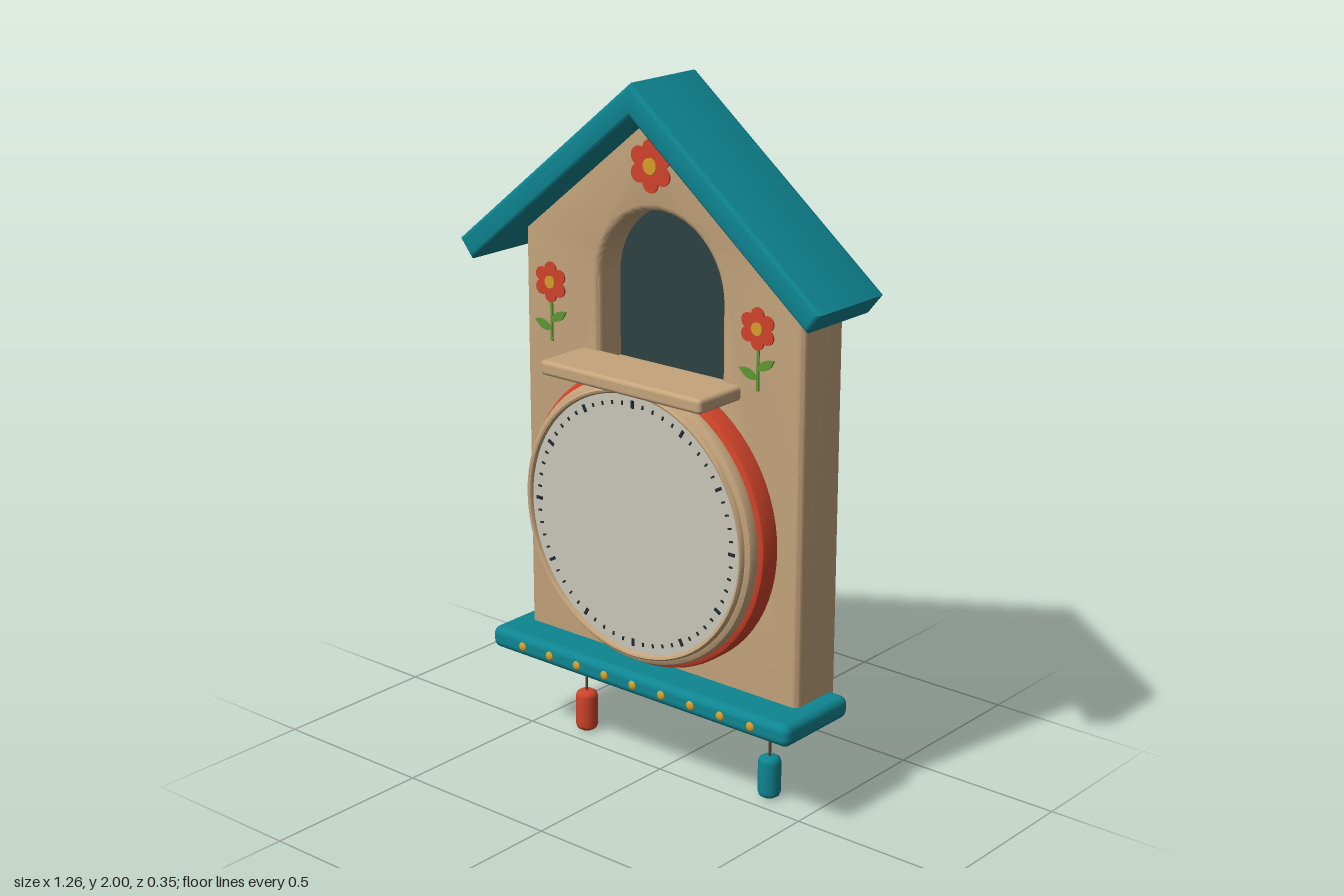
import * as THREE from 'three';
import { toCreasedNormals } from 'three/addons/utils/BufferGeometryUtils.js';
import { RoundedBoxGeometry } from 'three/addons/geometries/RoundedBoxGeometry.js';

const mat = (name, color) => {
  const m = new THREE.MeshStandardMaterial({ color });
  m.name = name;
  return m;
};

export function createModel() {
  const wood = mat('light wood', 0xc4a47c);
  const teal = mat('teal paint', 0x0e8591);
  const red = mat('red paint', 0xcf432a);
  const ivory = mat('ivory dial', 0xc9c5b9);
  const dark = mat('dark opening', 0x2d4242);
  const yellow = mat('yellow paint', 0xd69c28);
  const green = mat('leaf green', 0x5f9632);
  const brown = mat('cord brown', 0x5a4533);
  const ink = mat('dial ink', 0x222a30);

  const model = new THREE.Group();
  model.name = 'wallClock';

  const add = (name, geo, material, x = 0, y = 0, z = 0, parent = model) => {
    const m = new THREE.Mesh(geo, material);
    m.name = name;
    m.position.set(x, y, z);
    parent.add(m);
    return m;
  };
  const poly = (pts) => new THREE.Shape(pts.map(([x, y]) => new THREE.Vector2(x, y)));
  // Extrusion between two z values, keeping its outline while rounding the edges
  const slab = (shape, z0, z1, bevel = 0) => {
    const geo = new THREE.ExtrudeGeometry(shape, {
      depth: z1 - z0 - 2 * bevel, bevelEnabled: bevel > 0, bevelThickness: bevel,
      bevelSize: bevel, bevelOffset: -bevel, bevelSegments: 3, curveSegments: 24,
    });
    geo.translate(0, 0, z0 + bevel);
    return toCreasedNormals(geo, 0.6);
  };
  // Turned part with its axis along z, from [radius, z] pairs
  const turned = (pts) => toCreasedNormals(
    new THREE.LatheGeometry(pts.map(([r, z]) => new THREE.Vector2(r, z)), 72).rotateX(Math.PI / 2), 0.6);

  // House body with an arched opening
  const house = (inset) => poly([
    [-0.49 + inset, 0.31 + inset], [0.49 - inset, 0.31 + inset],
    [0.49 - inset, 1.535 - inset * 0.5], [0, 1.93 - inset * 1.27], [-0.49 + inset, 1.535 - inset * 0.5],
  ]);
  const arch = (Type, r) => {
    const p = new Type();
    p.moveTo(-r, 1.18);
    p.lineTo(r, 1.18);
    p.lineTo(r, 1.42);
    p.absarc(0, 1.42, r, 0, Math.PI, false);
    p.closePath();
    return p;
  };
  const bodyShape = house(0);
  bodyShape.holes.push(arch(THREE.Path, 0.218));
  add('body', slab(bodyShape, -0.172, 0.006, 0.018), wood);
  add('backPanel', slab(house(0.02), -0.175, -0.168), wood);
  add('openingBack', slab(arch(THREE.Shape, 0.222), -0.095, -0.088), dark);

  // Gabled roof
  add('roof', slab(poly([
    [0, 2], [-0.63, 1.49], [-0.586, 1.436], [0, 1.91], [0.586, 1.436], [0.63, 1.49],
  ]), -0.152, 0.127, 0.013), teal);

  // Shelf under the opening and the base with its row of studs
  add('shelf', new RoundedBoxGeometry(0.57, 0.042, 0.185, 3, 0.012), wood, 0, 1.19, 0.0825);
  add('base', new RoundedBoxGeometry(1.09, 0.066, 0.282, 4, 0.024), teal, 0, 0.303, -0.021);
  for (let i = -4; i <= 4; i++) {
    add('baseStud', new THREE.SphereGeometry(0.014, 14, 10).scale(1, 1, 0.5), yellow, i * 0.105, 0.303, 0.119);
  }

  // Clock dial: red ring, wooden bezel, face and ticks
  const dial = new THREE.Group();
  dial.name = 'dial';
  dial.position.y = 0.78;
  model.add(dial);
  add('dialRing', turned([
    [0, 0.002], [0.415, 0.008], [0.425, 0.018], [0.425, 0.064], [0.421, 0.074], [0.411, 0.08], [0, 0.08],
  ]), red, 0, 0, 0, dial);
  add('bezel', turned([
    [0.3, 0.078], [0.408, 0.078], [0.408, 0.096], [0.403, 0.106], [0.393, 0.111],
    [0.389, 0.112], [0.388, 0.119], [0.383, 0.125], [0.377, 0.123], [0.373, 0.117], [0.373, 0.105],
  ]), wood, 0, 0, 0, dial);
  add('dialFace', new THREE.CircleGeometry(0.377, 72), ivory, 0, 0, 0.114, dial);
  for (let i = 0; i < 60; i++) {
    const hour = i % 5 === 0;
    const a = (i / 60) * Math.PI * 2;
    const geo = hour ? new THREE.BoxGeometry(0.022, 0.009, 0.004) : new THREE.BoxGeometry(0.011, 0.005, 0.004);
    add(hour ? 'hourTick' : 'minuteTick', geo, ink,
      Math.cos(a) * 0.347, Math.sin(a) * 0.347, 0.115, dial).rotation.z = a;
  }

  // Flowers: six petals around a yellow centre, some with stem and leaves
  const disc = (r, depth) => new THREE.CylinderGeometry(r, r, depth, 20).rotateX(Math.PI / 2);
  const leaf = new THREE.Shape();
  leaf.moveTo(0, 0);
  leaf.quadraticCurveTo(0.022, 0.026, 0.064, 0.004);
  leaf.quadraticCurveTo(0.036, -0.024, 0, 0);
  const flower = (x, y, r, stem) => {
    const g = new THREE.Group();
    g.name = 'flower';
    g.position.set(x, y, 0.038);
    model.add(g);
    add('petalCore', disc(r * 0.6, 0.005), red, 0, 0, 0, g);
    for (let i = 0; i < 6; i++) {
      const a = (i / 6) * Math.PI * 2 + Math.PI / 6;
      add('petal', disc(r * 0.36, 0.005), red, Math.cos(a) * r * 0.64, Math.sin(a) * r * 0.64, 0, g);
    }
    add('flowerCentre', disc(r * 0.31, 0.006), yellow, 0, 0, 0.003, g);
    if (!stem) return;
    add('stem', new THREE.BoxGeometry(0.008, 0.14, 0.004), green, 0, -0.1, -0.003, g);
    add('leafRight', slab(leaf, 0, 0.005), green, 0, -0.112, -0.004, g).rotation.z = 0.5;
    add('leafLeft', slab(leaf, 0, 0.005), green, 0, -0.137, -0.004, g).rotation.z = Math.PI - 0.4;
  };
  flower(0, 1.768, 0.073, false);
  for (const s of [-1, 1]) flower(s * 0.365, 1.39, 0.058, true);

  // Hanging weights on cords
  for (const [x, paint] of [[-0.343, red], [0.343, teal]]) {
    add('cord', new THREE.CylinderGeometry(0.004, 0.004, 0.17, 8), brown, x, 0.205, -0.07);
    const profile = [[0, 0], [0.02, 0.001], [0.029, 0.007], [0.033, 0.018], [0.033, 0.107],
      [0.029, 0.118], [0.02, 0.124], [0, 0.125]].map(([r, y]) => new THREE.Vector2(r, y));
    add('weight', new THREE.LatheGeometry(profile, 28), paint, x, 0, -0.07);
  }
  return model;
}
